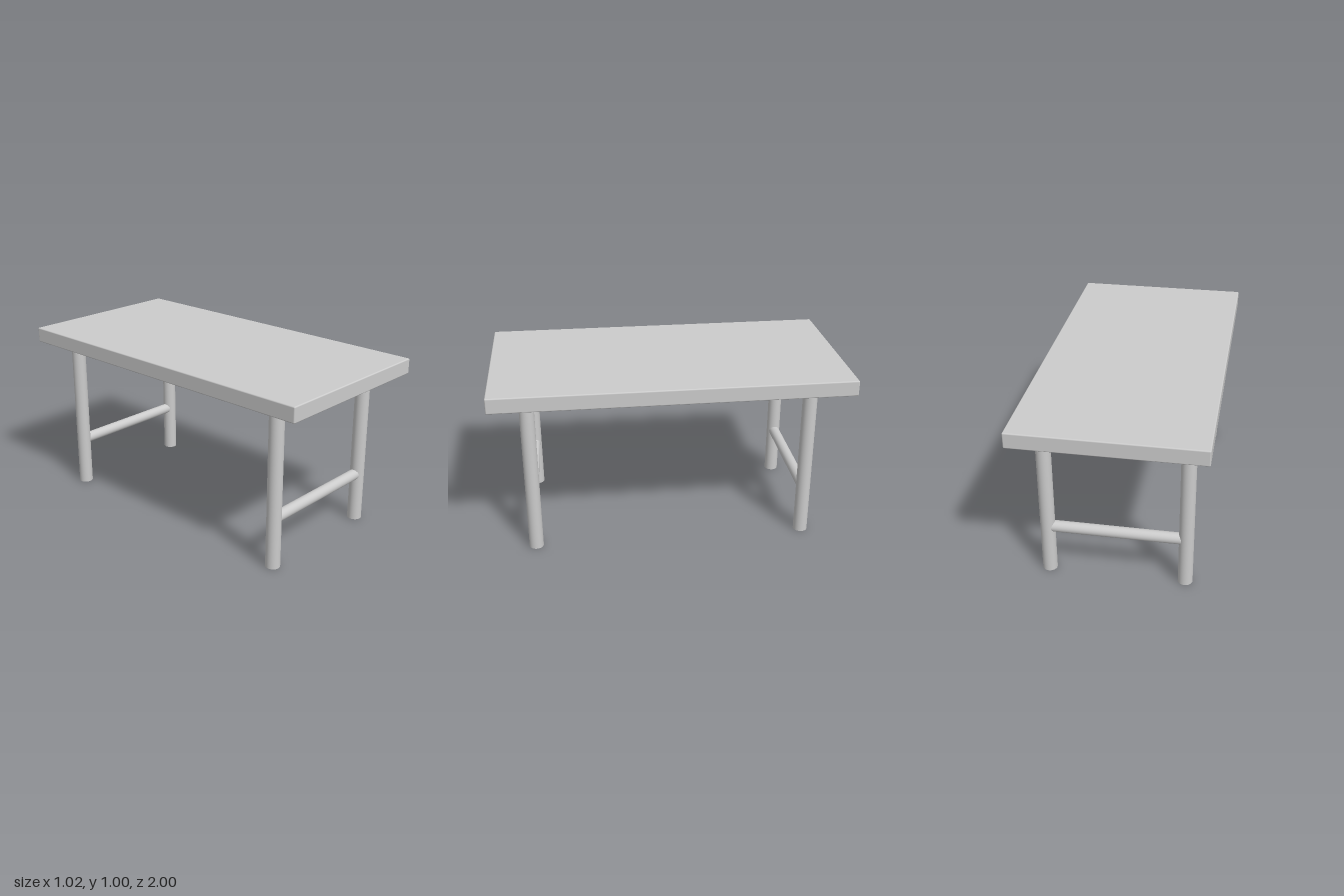
import * as THREE from 'three';
import { RoundedBoxGeometry } from 'three/addons/geometries/RoundedBoxGeometry.js';

export function createModel() {
  const table = new THREE.Group();
  table.name = 'table';
  const grey = new THREE.MeshStandardMaterial({ color: 0xcccccc });
  const tubeGrey = new THREE.MeshStandardMaterial({ color: 0xcccccc, side: THREE.DoubleSide });

  const add = (name, geometry, material, x, y, z) => {
    const mesh = new THREE.Mesh(geometry, material);
    mesh.name = name;
    mesh.position.set(x, y, z);
    table.add(mesh);
    return mesh;
  };

  // Slab with softly rounded edges
  const topHeight = 0.088;
  add('tabletop', new RoundedBoxGeometry(1.024, topHeight, 2, 3, 0.007), grey, 0, 1 - topHeight / 2, 0);

  // Legs are hollow tubes, open at the foot
  const legHeight = 0.915;
  const legGeometry = new THREE.CylinderGeometry(0.041, 0.041, legHeight, 32, 1, true);
  const legX = { Right: -0.388, Left: 0.376 };
  const ends = { front: 0.796, back: -0.77 };

  // Crossbar joining each pair of legs
  const barLength = legX.Left - legX.Right;
  const barGeometry = new THREE.CylinderGeometry(0.032, 0.032, barLength, 32, 1, true).rotateZ(Math.PI / 2);

  for (const [end, z] of Object.entries(ends)) {
    for (const [side, x] of Object.entries(legX)) {
      add(`${end}${side}Leg`, legGeometry, tubeGrey, x, legHeight / 2, z);
    }
    add(`${end}Crossbar`, barGeometry, tubeGrey, (legX.Left + legX.Right) / 2, 0.287, z);
  }

  return table;
}
